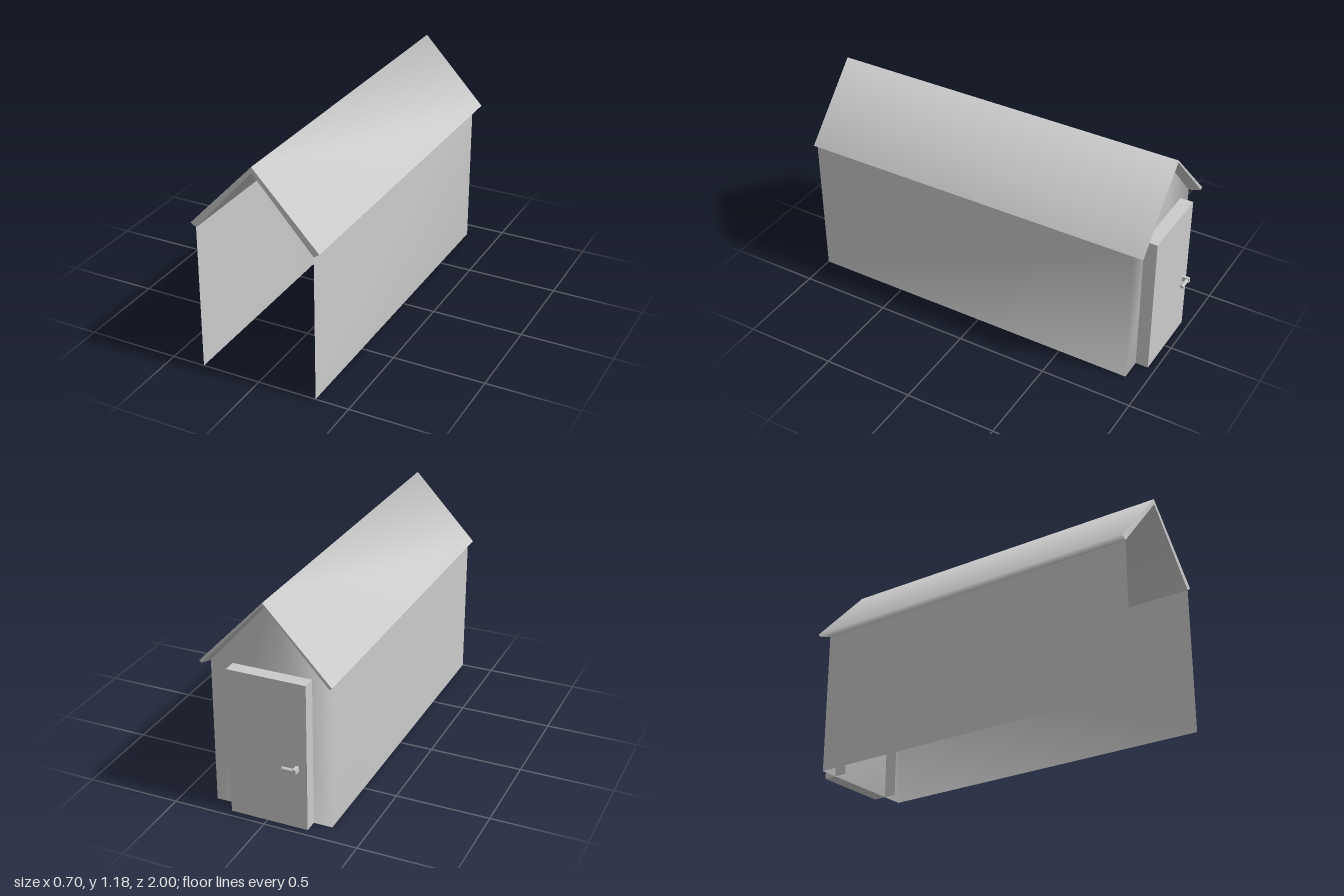
import * as THREE from 'three';

const material = new THREE.MeshStandardMaterial({ color: 0xcccccc, side: THREE.DoubleSide });

function mesh(name, geometry) {
  const m = new THREE.Mesh(geometry, material);
  m.name = name;
  return m;
}

// Smooth surface from a list of points and polygons sharing them
function surface(points, polygons) {
  const g = new THREE.BufferGeometry();
  g.setAttribute('position', new THREE.Float32BufferAttribute(points.flat(), 3));
  const index = [];
  for (const p of polygons)
    for (let i = 1; i < p.length - 1; i++) index.push(p[0], p[i], p[i + 1]);
  g.setIndex(index);
  g.computeVertexNormals();
  return g;
}

// Cross-section of the folded roof: outer edge and ridge, then the underside
function roofRing(inX, inY, inTop) {
  return [[0.35, 0.81], [0, 1.18], [-0.35, 0.81], [-inX, inY], [0, inTop], [inX, inY]];
}

function box(name, w, h, d, x, y, z) {
  const m = mesh(name, new THREE.BoxGeometry(w, h, d));
  m.position.set(x, y, z);
  return m;
}

export function createModel() {
  const model = new THREE.Group();
  model.name = 'shed';

  // Side walls and gable wall in one smooth shell, open at the front and below
  const W = 0.32, H = 0.79, back = -0.89, front = 1;
  model.add(mesh('walls', surface([
    [W, 0, front], [W, H, front], [W, 0, back], [W, H, back],
    [-W, 0, back], [-W, H, back], [-W, 0, front], [-W, H, front], [0, 1.15, back],
  ], [[0, 2, 3, 1], [4, 6, 7, 5], [8, 3, 2, 4, 5]])));

  // Roof: the back overhang thins toward its end
  const sections = [
    { z: -0.95, ring: roofRing(0.338, 0.8, 1.167) },
    { z: back, ring: roofRing(W, H, 1.15) },
    { z: front, ring: roofRing(W, H, 1.15) },
  ];
  const points = sections.flatMap(s => s.ring.map(([x, y]) => [x, y, s.z]));
  const faces = [];
  for (let s = 0; s < sections.length - 1; s++)
    for (let i = 0; i < 6; i++) {
      const j = (i + 1) % 6, a = s * 6, b = a + 6;
      faces.push([a + i, a + j, b + j, b + i]);
    }
  model.add(mesh('roof', surface(points, faces)));
  for (const [name, s] of [['roofBackEdge', sections[0]], ['roofFrontEdge', sections[2]]]) {
    const shape = new THREE.Shape(s.ring.map(([x, y]) => new THREE.Vector2(x, y)));
    const cap = mesh(name, new THREE.ShapeGeometry(shape));
    cap.position.z = s.z;
    model.add(cap);
  }

  // Door: a panel standing proud of the gable wall, with a frame reaching inside
  const x0 = -0.22, x1 = 0.2, doorH = 0.8, outer = -0.96, inner = -0.82;
  const door = new THREE.Group();
  door.name = 'door';
  const plane = (name, corners) => door.add(mesh(name, surface(corners, [[0, 1, 2, 3]])));
  plane('doorPanel', [[x1, 0, outer], [x0, 0, outer], [x0, doorH, outer], [x1, doorH, outer]]);
  plane('doorTop', [[x0, doorH, outer], [x0, doorH, inner], [x1, doorH, inner], [x1, doorH, outer]]);
  plane('doorSill', [[x0, 0, outer], [x1, 0, outer], [x1, 0, back], [x0, 0, back]]);
  plane('doorLeftSide', [[x1, 0, outer], [x1, doorH, outer], [x1, doorH, inner], [x1, 0, inner]]);
  plane('doorRightSide', [[x0, 0, outer], [x0, 0, inner], [x0, doorH, inner], [x0, doorH, outer]]);
  model.add(door);

  // Handle: square stem with a round lever
  const handle = new THREE.Group();
  handle.name = 'doorHandle';
  handle.add(box('handleStem', 0.016, 0.028, 0.04, -0.17, 0.34, -0.98));
  const lever = mesh('handleLever', new THREE.CylinderGeometry(0.01, 0.01, 0.068, 12));
  lever.rotation.z = Math.PI / 2;
  lever.position.set(-0.134, 0.34, -0.988);
  handle.add(lever);
  model.add(handle);

  return model;
}
